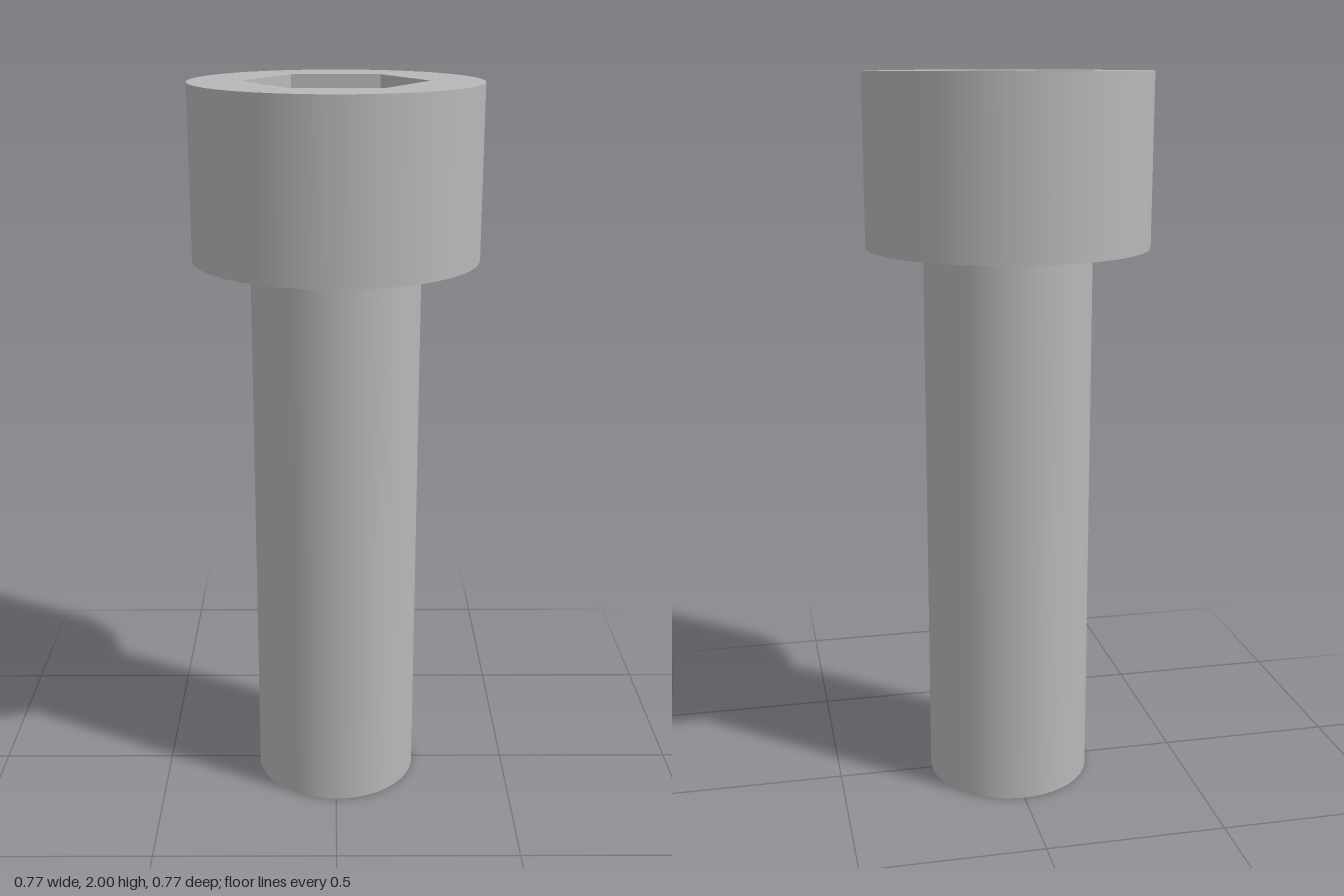
import * as THREE from 'three';

const SIDES = 42;
const HEAD_R = 0.385, SHAFT_R = 0.23, HEAD_Y = 1.54, TOP_Y = 2;
const HEX_R = 0.244, SOCKET_DEPTH = 0.23;

// Regular polygon with its first corner on +x
function polygon(radius, sides) {
  return Array.from({ length: sides }, (_, i) => {
    const a = (i / sides) * Math.PI * 2;
    return new THREE.Vector2(Math.cos(a) * radius, Math.sin(a) * radius);
  });
}

export function createModel() {
  const bolt = new THREE.Group();
  bolt.name = 'socketHeadBolt';
  const steel = new THREE.MeshStandardMaterial({ color: 0xb8b8b8 });
  steel.name = 'steelGrey';

  const add = (name, geometry, y) => {
    const mesh = new THREE.Mesh(geometry, steel);
    mesh.name = name;
    mesh.position.y = y;
    bolt.add(mesh);
  };
  const wall = (radius, height, sides) =>
    new THREE.CylinderGeometry(radius, radius, height, sides, 1, true, Math.PI / 2);

  // Shaft with a flat end
  add('shaft', wall(SHAFT_R, HEAD_Y, SIDES), HEAD_Y / 2);
  add('shaftEnd', new THREE.CircleGeometry(SHAFT_R, SIDES).rotateX(Math.PI / 2), 0);

  // Head side and the shoulder beneath it
  add('headSide', wall(HEAD_R, TOP_Y - HEAD_Y, SIDES), (TOP_Y + HEAD_Y) / 2);
  add('headShoulder', new THREE.RingGeometry(SHAFT_R, HEAD_R, SIDES).rotateX(Math.PI / 2), HEAD_Y);

  // Head top with the hexagonal opening
  const top = new THREE.Shape(polygon(HEAD_R, SIDES));
  top.holes.push(new THREE.Path(polygon(HEX_R, 6)));
  add('headTop', new THREE.ShapeGeometry(top).rotateX(-Math.PI / 2), TOP_Y);

  // Socket walls, mirrored so that they face inwards, and the socket floor
  const socket = wall(HEX_R, SOCKET_DEPTH, 6).toNonIndexed().scale(-1, 1, 1);
  socket.computeVertexNormals();
  add('socketWalls', socket, TOP_Y - SOCKET_DEPTH / 2);
  add('socketFloor', new THREE.CircleGeometry(HEX_R, 6).rotateX(-Math.PI / 2), TOP_Y - SOCKET_DEPTH);

  return bolt;
}
